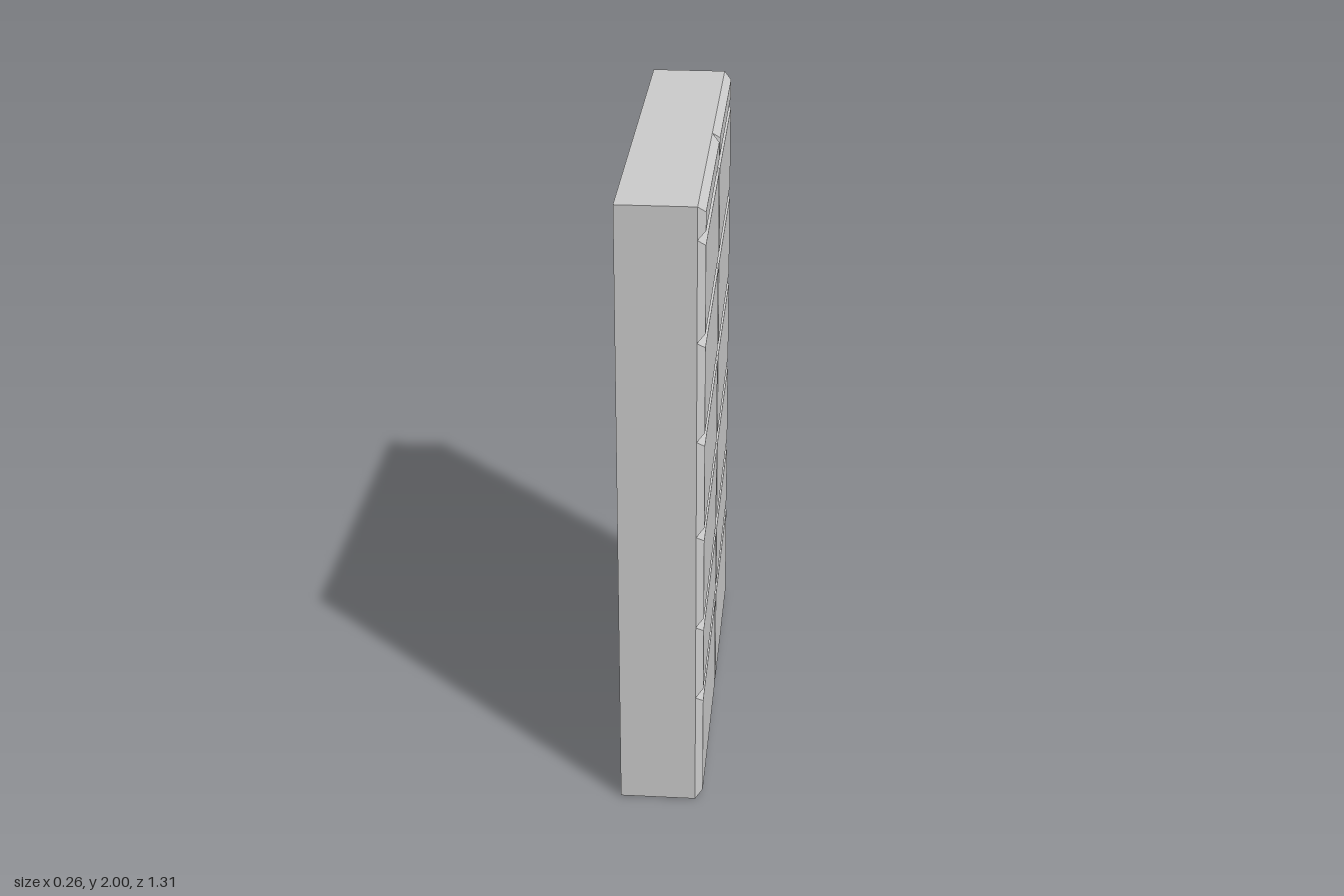
import * as THREE from 'three';

const material = new THREE.MeshStandardMaterial({ color: 0xcccccc, flatShading: true, side: THREE.DoubleSide });

// Thin-walled mesh from four-cornered faces, corners counter-clockwise from outside
function quadMesh(name, quads) {
  const positions = [];
  for (const [a, b, c, d] of quads) positions.push(...a, ...b, ...c, ...a, ...c, ...d);
  const geometry = new THREE.BufferGeometry();
  geometry.setAttribute('position', new THREE.Float32BufferAttribute(positions, 3));
  geometry.computeVertexNormals();
  const mesh = new THREE.Mesh(geometry, material);
  mesh.name = name;
  return mesh;
}

export function createModel() {
  const model = new THREE.Group();
  model.name = 'panelledWall';
  const back = -0.13, groove = 0.107, face = 0.13, height = 2, half = 0.653, bevel = 0.022;

  // Hollow body, open underneath
  model.add(quadMesh('body', [
    [[back, 0, -half], [back, 0, half], [back, height, half], [back, height, -half]],
    [[back, 0, half], [groove, 0, half], [groove, height, half], [back, height, half]],
    [[groove, 0, -half], [back, 0, -half], [back, height, -half], [groove, height, -half]],
    [[back, height, half], [groove, height, half], [groove, height, -half], [back, height, -half]],
  ]));

  // Inner partition between the two columns
  const divider = new THREE.Mesh(new THREE.PlaneGeometry(groove - back, 1.72), material);
  divider.position.set((groove + back) / 2, 0.86, 0);
  divider.name = 'divider';
  model.add(divider);

  // Bevelled panels whose slopes meet in V-shaped grooves
  const panels = new THREE.Group();
  panels.name = 'panels';
  const rows = [0, 0.38, 0.635, 0.95, 1.268, 1.585, 1.9, height];
  const columns = [-half, 0, half];
  const ring = (x, y0, y1, z0, z1) => [[x, y0, z1], [x, y0, z0], [x, y1, z0], [x, y1, z1]];
  for (let r = 0; r < rows.length - 1; r++) {
    for (let c = 0; c < 2; c++) {
      const [y0, y1, z0, z1] = [rows[r], rows[r + 1], columns[c], columns[c + 1]];
      const outer = ring(groove, y0, y1, z0, z1);
      const inner = ring(face, y0 + bevel, y1 - bevel, z0 + bevel, z1 - bevel);
      const slopes = outer.map((p, i) => [p, outer[(i + 1) % 4], inner[(i + 1) % 4], inner[i]]);
      panels.add(quadMesh('panel', [inner, ...slopes]));
    }
  }
  model.add(panels);
  return model;
}
